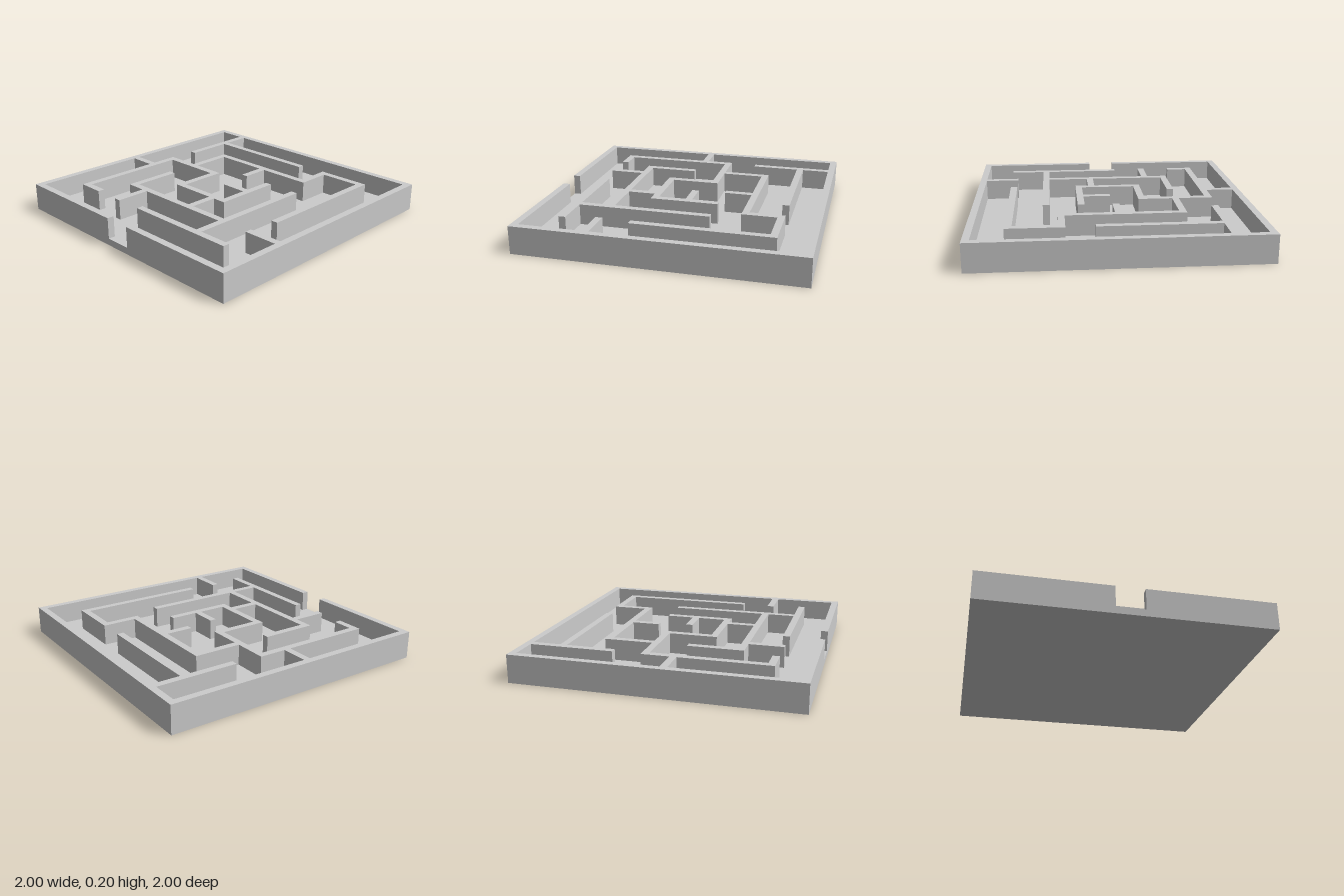
import * as THREE from 'three';

const N = 40;            // cells per side of the plan
const CELL = 2 / N;      // wall thickness
const FLOOR = 0.05;
const HEIGHT = 0.2;

// Wall runs as [column, row] corners on the plan, columns along +x and rows along +z
const RUNS = [
  [[22, 39], [39, 39], [39, 0], [0, 0], [0, 39], [17, 39]], // outer wall with front entrance
  [[5, 0], [5, 12]],
  [[5, 5], [22, 5]],
  [[10, 17], [10, 10], [27, 10], [27, 5], [34, 5], [34, 24]],
  [[19, 10], [19, 14]],
  [[8, 34], [5, 34], [5, 17], [15, 17], [15, 24], [24, 24], [24, 15]],
  [[20, 19], [24, 19]],
  [[0, 21], [5, 21]],
  [[22, 24], [22, 29]],
  [[10, 22], [10, 29], [29, 29]],
  [[13, 29], [13, 34]],
  [[29, 15], [29, 34]],
  [[18, 34], [34, 34]],
  [[34, 29], [39, 29]],
];

// Mark every cell covered by a wall run
function wallCells() {
  const cells = new Set();
  for (const run of RUNS) {
    for (let k = 1; k < run.length; k++) {
      const [[a, b], [c, d]] = [run[k - 1], run[k]];
      for (let i = Math.min(a, c); i <= Math.max(a, c); i++)
        for (let j = Math.min(b, d); j <= Math.max(b, d); j++) cells.add(`${i},${j}`);
    }
  }
  return cells;
}

// Walk round the joined cells and keep only the corners of their outline
function outline(cells) {
  const next = new Map();
  for (const key of cells) {
    const [i, j] = key.split(',').map(Number);
    const edge = (di, dj, from, to) => {
      if (!cells.has(`${i + di},${j + dj}`)) next.set(`${from}`, to);
    };
    edge(0, -1, [i, j], [i + 1, j]);
    edge(1, 0, [i + 1, j], [i + 1, j + 1]);
    edge(0, 1, [i + 1, j + 1], [i, j + 1]);
    edge(-1, 0, [i, j + 1], [i, j]);
  }
  const loop = [];
  let p = [0, 0];
  do {
    loop.push(p);
    p = next.get(`${p}`);
  } while (p[0] || p[1]);
  const corners = loop.filter((q, k) => {
    const a = loop[(k + loop.length - 1) % loop.length];
    const b = loop[(k + 1) % loop.length];
    return a[0] !== b[0] && a[1] !== b[1];
  });
  return corners.map(([i, j]) => new THREE.Vector2(i * CELL - 1, 1 - j * CELL));
}

export function createModel() {
  const group = new THREE.Group();
  group.name = 'maze';
  const material = new THREE.MeshStandardMaterial({ color: 0xcccccc });

  // Base slab
  const floor = new THREE.Mesh(new THREE.BoxGeometry(2, FLOOR, 2), material);
  floor.name = 'floor';
  floor.position.y = FLOOR / 2;

  // All walls as one joined solid
  const geometry = new THREE.ExtrudeGeometry(new THREE.Shape(outline(wallCells())), {
    depth: HEIGHT - FLOOR,
    bevelEnabled: false,
  });
  geometry.rotateX(-Math.PI / 2);
  const walls = new THREE.Mesh(geometry, material);
  walls.name = 'walls';
  walls.position.y = FLOOR;

  group.add(floor, walls);
  return group;
}
